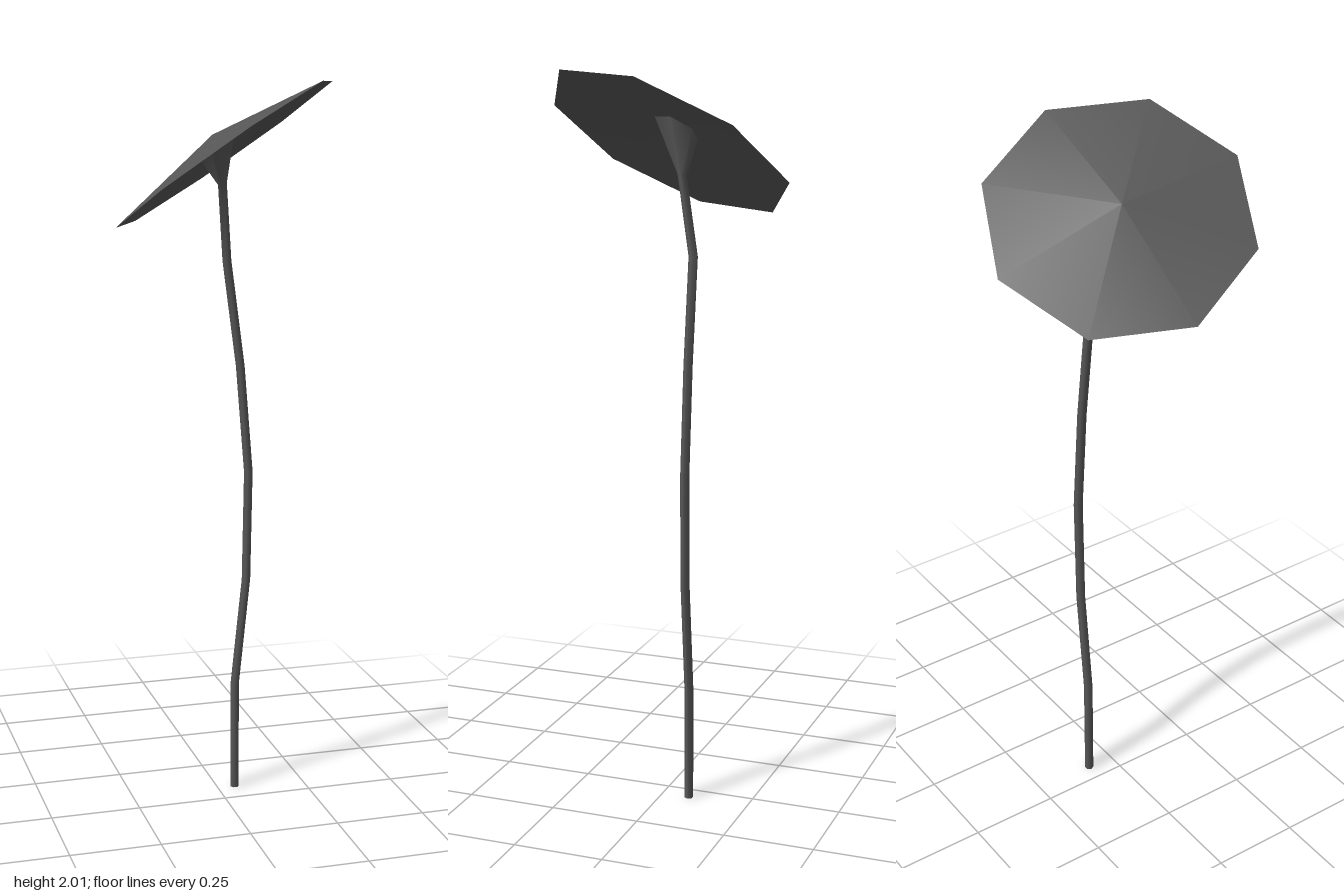
import * as THREE from 'three';

export function createModel() {
  const group = new THREE.Group();
  const grey = new THREE.MeshStandardMaterial({ color: 0x565656, side: THREE.DoubleSide });
  grey.name = 'dark grey';

  // Tilted frame of the cap: one rim corner direction and the cap's axis
  const axis = new THREE.Vector3(-0.63, 1, -0.32).normalize();
  const corner = new THREE.Vector3(0.302, 0.183, -0.02);
  corner.addScaledVector(axis, -corner.dot(axis)).normalize();
  const side = new THREE.Vector3().crossVectors(corner, axis);
  const center = new THREE.Vector3(0, 1.812, 0);
  const capHeight = 0.06;

  // Cap: a shallow, open eight-sided cone
  const capGeometry = new THREE.ConeGeometry(0.354, capHeight, 8, 1, true);
  capGeometry.translate(0, capHeight / 2, 0);
  const frame = new THREE.Matrix4().makeBasis(corner, axis, side).setPosition(center);
  capGeometry.applyMatrix4(frame);
  const cap = new THREE.Mesh(capGeometry, grey);
  cap.name = 'cap';
  group.add(cap);

  // Stem: six-sided rings along a bent line, flaring into a funnel under the cap
  const flare = center.clone().addScaledVector(axis, 0.045);
  const rings = [ // x, y, z, radius, tilt towards the cap's axis
    [0.05, 0, -0.078, 0.0125, 0],
    [0.05, 0.31, -0.078, 0.0125, 0],
    [0.083, 0.62, -0.078, 0.0125, 0],
    [0.089, 0.93, -0.078, 0.0125, 0],
    [0.065, 1.23, -0.078, 0.0125, 0],
    [0.027, 1.52, -0.078, 0.0125, 0.1],
    [0.003, 1.73, -0.038, 0.0125, 0.4],
    [flare.x, flare.y, flare.z, 0.065, 1],
  ];
  const steps = rings.length - 1;
  const stemGeometry = new THREE.CylinderGeometry(1, 1, 1, 6, steps, false, Math.PI / 2);
  const up = new THREE.Vector3(0, 1, 0);
  const fullTilt = new THREE.Quaternion().setFromUnitVectors(up, axis);
  const position = stemGeometry.attributes.position;
  const point = new THREE.Vector3();
  for (let i = 0; i < position.count; i++) {
    point.fromBufferAttribute(position, i);
    const [x, y, z, radius, tilt] = rings[Math.round((point.y + 0.5) * steps)];
    const turn = new THREE.Quaternion().slerp(fullTilt, tilt);
    point.setY(0).multiplyScalar(radius).applyQuaternion(turn);
    position.setXYZ(i, point.x + x, point.y + y, point.z + z);
  }
  stemGeometry.computeVertexNormals();
  const stem = new THREE.Mesh(stemGeometry, grey);
  stem.name = 'stem';
  group.add(stem);

  return group;
}
